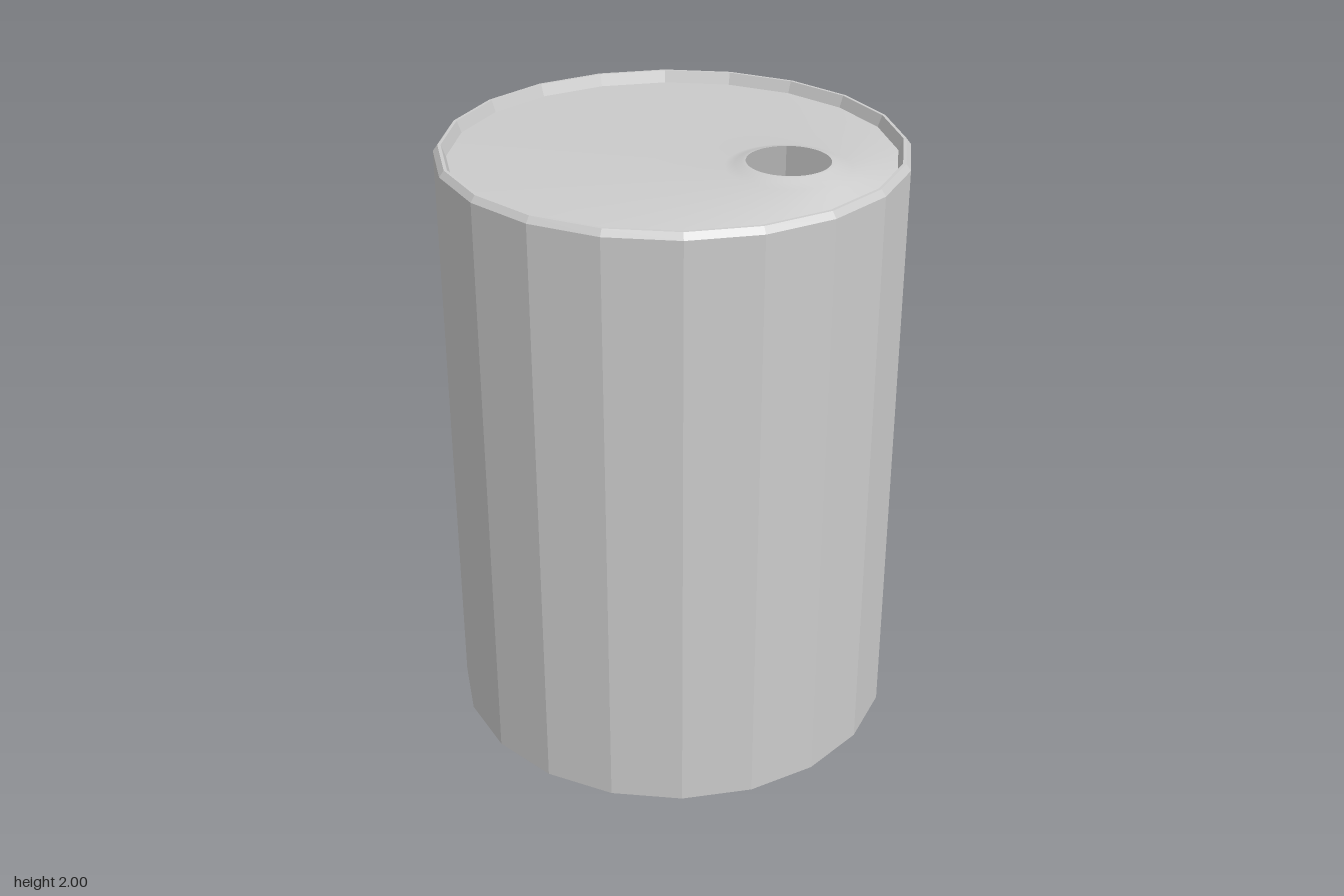
import * as THREE from 'three';

const SIDES = 20;
const STEPS = 40; // two lid segments per can side
const HOLE = { x: 0.24, z: 0.34 };

const ring = (cx, cz, r, y) => Array.from({ length: STEPS }, (_, j) => {
  const a = (j / STEPS) * Math.PI * 2;
  return new THREE.Vector3(cx + r * Math.sin(a), y, cz + r * Math.cos(a));
});

// Edge ring that follows the polygonal wall: odd points sit at side midpoints
function polygonRing(r, y) {
  const flat = Math.cos(Math.PI / SIDES);
  return ring(0, 0, r, y).map((p, j) => {
    if (j % 2) { p.x *= flat; p.z *= flat; }
    return p;
  });
}

// Smooth surface through closed rings, ordered from the inside out
function loft(rings) {
  const index = [];
  for (let i = 0; i < rings.length - 1; i++) {
    for (let j = 0; j < STEPS; j++) {
      const k = (j + 1) % STEPS;
      const a = i * STEPS + j, b = i * STEPS + k;
      const c = a + STEPS, d = b + STEPS;
      index.push(a, c, d, a, d, b);
    }
  }
  const geometry = new THREE.BufferGeometry().setFromPoints(rings.flat());
  geometry.setIndex(index);
  geometry.computeVertexNormals();
  return geometry;
}

export function createModel() {
  const group = new THREE.Group();
  group.name = 'can';

  // Hollow body with chamfered rim, inner wall and floor
  const profile = [
    [0, 0], [0.74, 0], [0.74, 1.955], [0.725, 1.975], [0.715, 1.975],
    [0.7, 1.935], [0.7, 0.03], [0, 0.03],
  ].map(([r, y]) => new THREE.Vector2(r, y));
  const body = new THREE.Mesh(
    new THREE.LatheGeometry(profile, SIDES),
    new THREE.MeshStandardMaterial({ color: 0xcccccc, flatShading: true }),
  );
  body.name = 'body';
  group.add(body);

  // Lid rising from the rim to a soft collar around the off-centre opening
  const edge = polygonRing(0.702, 1.937);
  const collar = [[0.128, 2], [0.14, 1.998], [0.16, 1.99], [0.19, 1.982]]
    .map(([r, y]) => ring(HOLE.x, HOLE.z, r, y));
  const base = collar[collar.length - 1];
  const slope = [0.25, 0.5, 0.75, 1].map((t) => base.map((p, j) => p.clone().lerp(edge[j], t)));
  const lid = new THREE.Mesh(
    loft([...collar, ...slope]),
    new THREE.MeshStandardMaterial({ color: 0xcccccc, side: THREE.DoubleSide }),
  );
  lid.name = 'lid';
  group.add(lid);

  return group;
}
